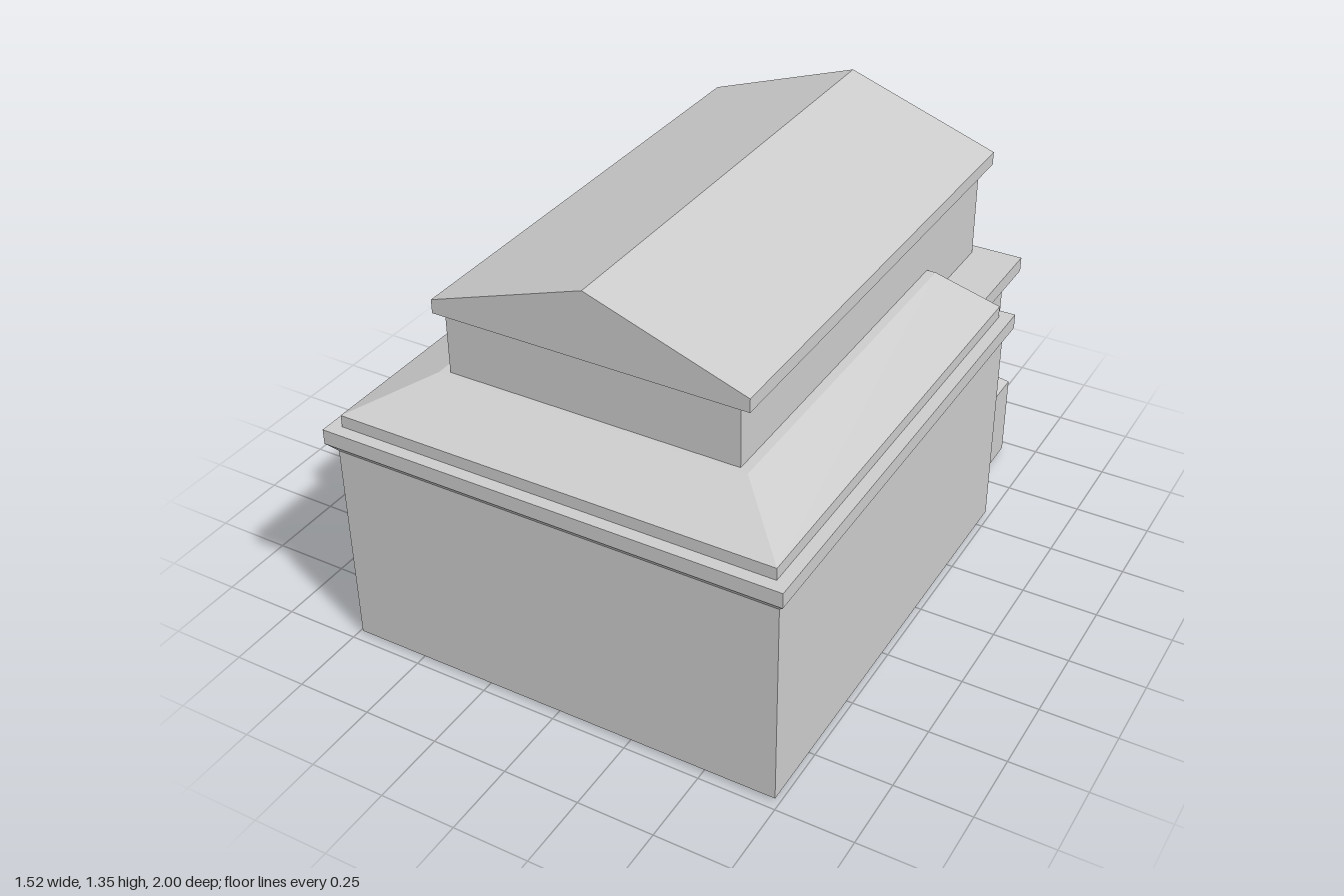
import * as THREE from 'three';
import { toCreasedNormals } from 'three/addons/utils/BufferGeometryUtils.js';

const material = new THREE.MeshStandardMaterial({ color: 0xcccccc, side: THREE.DoubleSide });
const ARCH_Y = 0.72; // springing height shared by all arches
const GAP = 0.28;    // half width of the passage

function add(group, name, geometry) {
  const mesh = new THREE.Mesh(geometry, material);
  mesh.name = name;
  group.add(mesh);
  return mesh;
}

function box(group, name, x0, x1, y0, y1, z0, z1) {
  const mesh = add(group, name, new THREE.BoxGeometry(x1 - x0, y1 - y0, z1 - z0));
  mesh.position.set((x0 + x1) / 2, (y0 + y1) / 2, (z0 + z1) / 2);
}

// Flat-faced skin between rows of equally many [x, y, z] points
function loft(rows, closed) {
  const pos = [];
  for (let i = 0; i < rows.length - 1; i++) {
    const a = rows[i], b = rows[i + 1], n = a.length;
    for (let j = 0; j < (closed ? n : n - 1); j++) {
      const k = (j + 1) % n;
      pos.push(...a[j], ...a[k], ...b[k], ...a[j], ...b[k], ...b[j]);
    }
  }
  const g = new THREE.BufferGeometry();
  g.setAttribute('position', new THREE.Float32BufferAttribute(pos, 3));
  g.computeVertexNormals();
  return g;
}

// Rectangular plan with an opening in the middle of the back side
const openPlan = ([y, w, zb, zf]) => [
  [GAP, y, zb], [w, y, zb], [w, y, zf], [-w, y, zf], [-w, y, zb], [-GAP, y, zb],
].reverse();

const closedPlan = ([y, x0, x1, zb, zf]) => [
  [x0, y, zf], [x1, y, zf], [x1, y, zb], [x0, y, zb],
];

function extrude(shape, z0, z1) {
  const g = new THREE.ExtrudeGeometry(shape, { depth: z1 - z0, bevelEnabled: false, curveSegments: 32 });
  g.translate(0, 0, z0);
  return toCreasedNormals(g, 0.5);
}

function polygon(points) {
  return new THREE.Shape(points.map(([x, y]) => new THREE.Vector2(x, y)));
}

// Half ring, with optional straight legs reaching down to y = foot
function archBand(outer, inner, foot = ARCH_Y) {
  const s = new THREE.Shape();
  s.moveTo(outer, foot);
  s.lineTo(outer, ARCH_Y);
  s.absarc(0, ARCH_Y, outer, 0, Math.PI, false);
  s.lineTo(-outer, foot);
  s.lineTo(-inner, foot);
  s.lineTo(-inner, ARCH_Y);
  s.absarc(0, ARCH_Y, inner, Math.PI, 0, true);
  s.lineTo(inner, foot);
  return s;
}

export function createModel() {
  const model = new THREE.Group();
  model.name = 'building';

  // Main block with flared cornice, and the hipped lower roof
  add(model, 'bodyWalls', loft([
    [0.01, 0.735, -0.57, 0.97], [0.705, 0.735, -0.57, 0.97],
    [0.74, 0.76, -0.6, 1], [0.79, 0.76, -0.6, 1], [0.79, 0.72, -0.56, 0.96],
  ].map(openPlan)));
  add(model, 'lowerRoof', loft([
    [0.79, 0.72, -0.56, 0.96], [0.83, 0.72, -0.56, 0.96],
    [0.925, 0.515, -0.505, 0.745], [0.925, 0.48, -0.505, 0.72],
  ].map(openPlan)));

  // Upper storey and gabled roof
  add(model, 'upperWalls', loft([
    [0.79, 0.485, -0.89, 0.73], [1.13, 0.485, -0.89, 0.73],
  ].map(([y, w, zb, zf]) => [[w, y, zb], [w, y, zf], [-w, y, zf], [-w, y, zb]])));
  add(model, 'gableRoof', extrude(polygon([
    [-0.52, 1.125], [0.52, 1.125], [0.52, 1.17], [0, 1.35], [-0.52, 1.17],
  ]), -0.925, 0.745));

  // Thin triangular moulding on the portal gable
  const moulding = polygon([[-0.39, 1.16], [0.39, 1.16], [0, 1.295]]);
  moulding.holes.push(new THREE.Path([[-0.31, 1.175], [0, 1.28], [0.31, 1.175]].map(p => new THREE.Vector2(...p))));
  add(model, 'pedimentMoulding', extrude(moulding, -0.935, -0.92));

  // Portal wall with its stepped arch
  const wall = new THREE.Shape();
  wall.moveTo(0.485, ARCH_Y);
  wall.lineTo(0.485, 1.13);
  wall.lineTo(-0.485, 1.13);
  wall.lineTo(-0.485, ARCH_Y);
  wall.lineTo(-0.36, ARCH_Y);
  wall.absarc(0, ARCH_Y, 0.36, Math.PI, 0, true);
  add(model, 'portalWall', extrude(wall, -0.895, -0.85));
  add(model, 'outerArch', extrude(archBand(0.405, 0.36), -0.908, -0.87));
  add(model, 'innerArch', extrude(archBand(0.37, 0.275), -0.865, -0.83));

  // Vaulted passage, its end wall, floor and step
  add(model, 'passageVault', extrude(archBand(0.29, 0.275, 0.02), -0.85, 0.22));
  const end = new THREE.Shape();
  end.moveTo(0.29, 0.02);
  end.lineTo(0.29, ARCH_Y);
  end.absarc(0, ARCH_Y, 0.29, 0, Math.PI, false);
  end.lineTo(-0.29, 0.02);
  add(model, 'passageEndWall', extrude(end, 0.2, 0.22));
  box(model, 'passageFloor', -0.29, 0.29, 0.02, 0.05, -0.95, 0.22);
  box(model, 'doorStep', -0.395, 0.395, 0.01, 0.075, -1, -0.945);

  // Portal piers: plinth, shaft and flared capital
  for (const side of [1, -1]) {
    const rows = [
      [0.01, 0.43, 0.43, -0.7, -0.7],
      [0.01, 0.22, 0.64, -0.95, -0.55], [0.295, 0.22, 0.64, -0.95, -0.55],
      [0.335, 0.26, 0.6, -0.905, -0.55], [0.705, 0.26, 0.6, -0.905, -0.55],
      [0.75, 0.22, 0.645, -0.94, -0.55], [0.8, 0.22, 0.645, -0.94, -0.55],
      [0.8, 0.43, 0.43, -0.7, -0.7],
    ].map(([y, a, b, zb, zf]) => closedPlan(side > 0 ? [y, a, b, zb, zf] : [y, -b, -a, zb, zf]));
    add(model, side > 0 ? 'leftPier' : 'rightPier', loft(rows, true));
  }

  // Small round bowl set into the passage floor
  const bowl = add(model, 'floorBowl', new THREE.SphereGeometry(0.09, 24, 12));
  bowl.scale.y = 0.6;
  bowl.position.set(0.04, 0.054, 0.11);

  return model;
}
